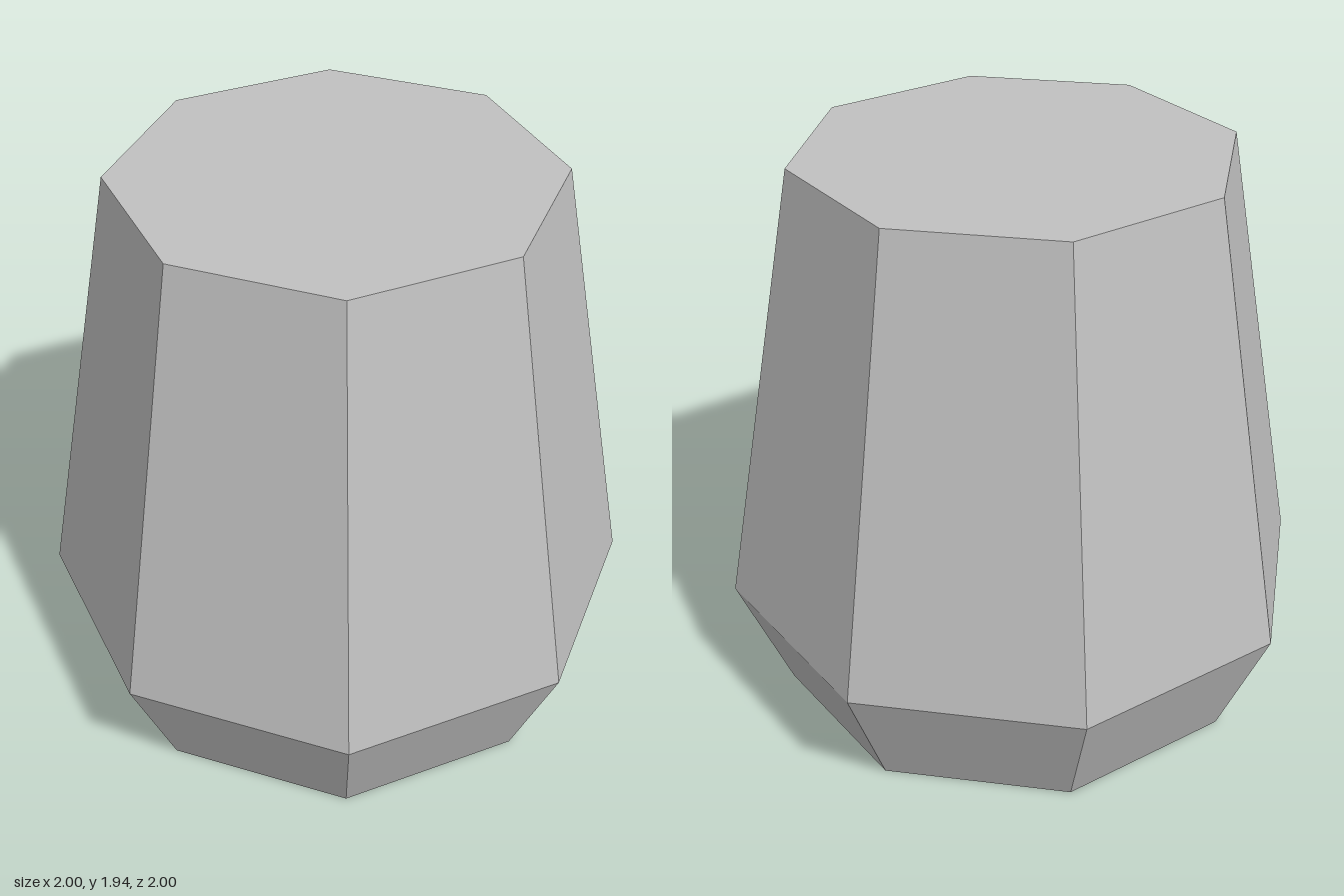
import * as THREE from 'three';

const SIDES = 8;
const BASE_R = 0.82, WAIST_R = 1, TOP_R = 0.73;
const WAIST_Y = 0.41, TOP_Y = 1.94;

export function createModel() {
  const group = new THREE.Group();
  group.name = 'taperedShell';

  const grey = new THREE.MeshStandardMaterial({ color: 0xc0c0c0, flatShading: true, side: THREE.DoubleSide });
  grey.name = 'plain grey';

  const add = (name, geometry) => {
    const mesh = new THREE.Mesh(geometry, grey);
    mesh.name = name;
    group.add(mesh);
    return mesh;
  };

  // Open ring of flat facets between two heights
  const band = (name, r0, y0, r1, y1) => {
    const geometry = new THREE.CylinderGeometry(r1, r0, y1 - y0, SIDES, 1, true);
    add(name, geometry).position.y = (y0 + y1) / 2;
  };

  // Hollow body, open underneath
  band('lowerFlare', BASE_R, 0, WAIST_R, WAIST_Y);
  band('upperTaper', WAIST_R, WAIST_Y, TOP_R, TOP_Y);

  // Flat octagonal lid
  const lid = add('topLid', new THREE.CircleGeometry(TOP_R, SIDES));
  lid.rotation.x = -Math.PI / 2;
  lid.position.y = TOP_Y;

  return group;
}
